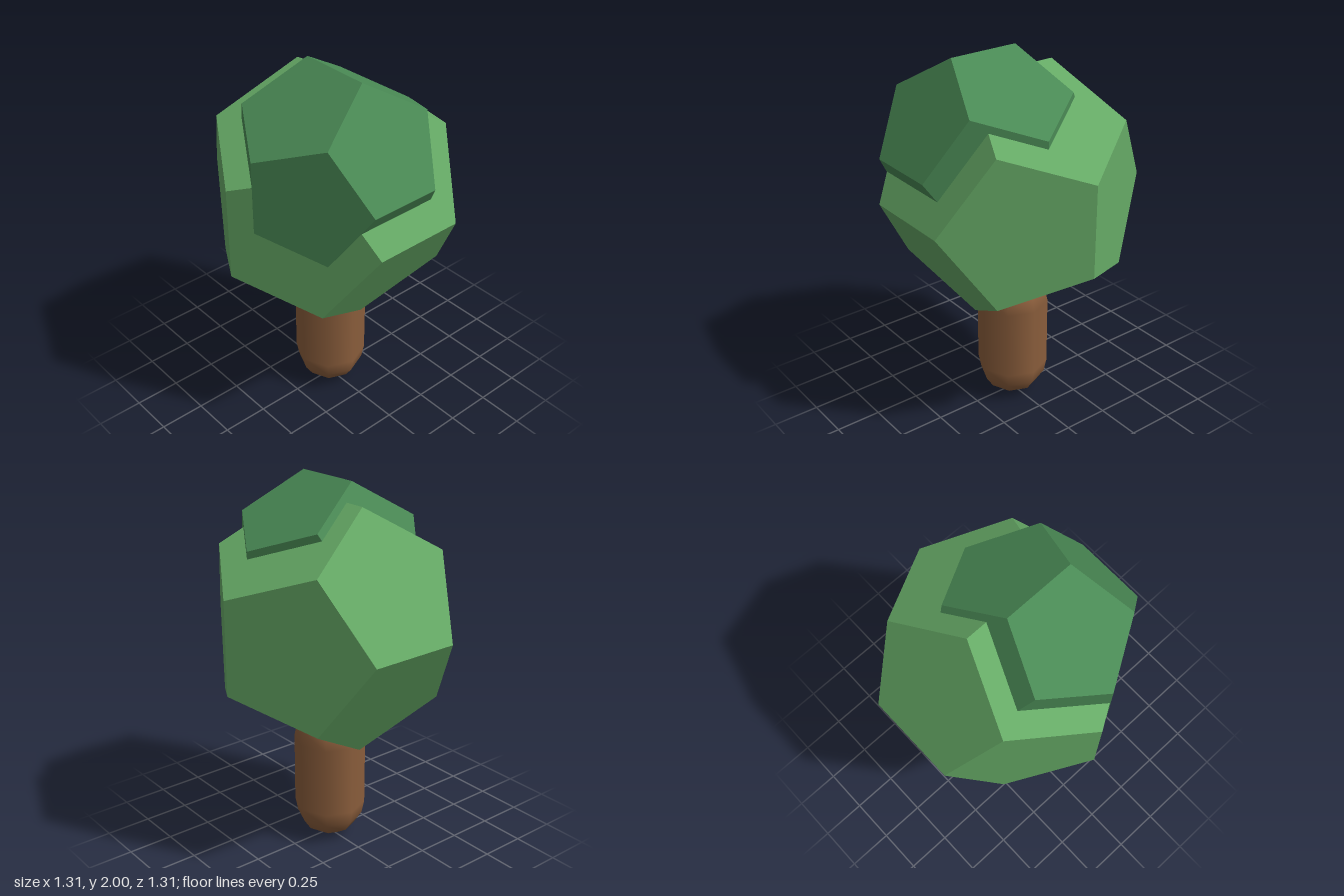
import * as THREE from 'three';

function addPart(group, name, geometry, color, position, flatShading) {
  const material = new THREE.MeshStandardMaterial({ color, flatShading });
  const mesh = new THREE.Mesh(geometry, material);
  mesh.name = name;
  mesh.position.set(...position);
  group.add(mesh);
}

export function createModel() {
  const tree = new THREE.Group();
  tree.name = 'tree';

  // Rounded trunk, its upper end sunk into the foliage
  const radius = 0.195;
  const length = 0.39;
  addPart(tree, 'trunk', new THREE.CapsuleGeometry(radius, length, 4, 8),
    0x8b5e3c, [0, radius + length / 2, 0], false);

  // Two overlapping faceted clumps of leaves
  addPart(tree, 'mainFoliage', new THREE.DodecahedronGeometry(0.702),
    0x66aa66, [0, 1.256, 0], true);
  addPart(tree, 'upperFoliage', new THREE.DodecahedronGeometry(0.546),
    0x4a8a55, [0.117, 1.49, 0.078], true);

  return tree;
}
